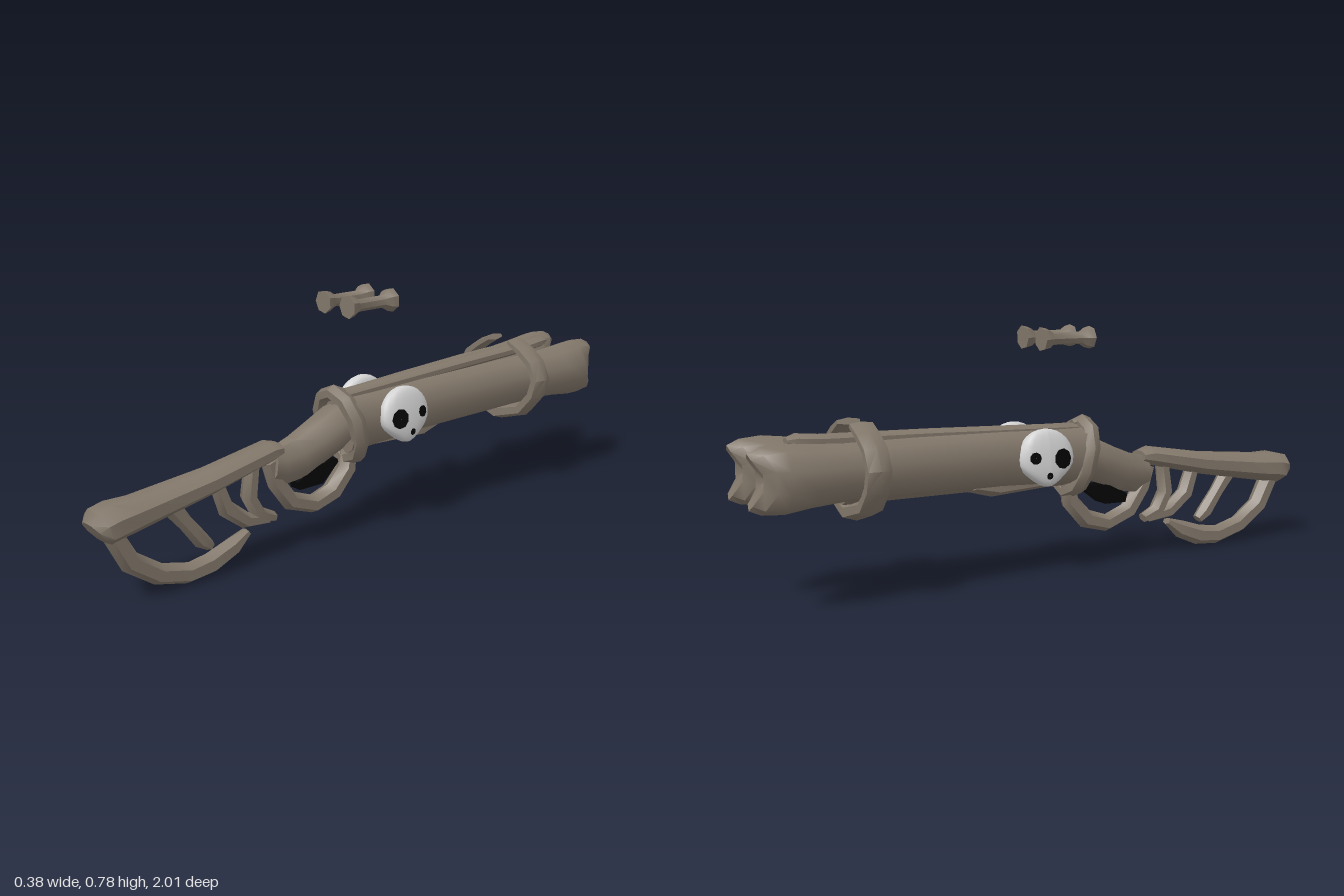
import * as THREE from 'three';
import { toCreasedNormals } from 'three/addons/utils/BufferGeometryUtils.js';

const mat = (name, color, side = THREE.FrontSide) => {
  const m = new THREE.MeshStandardMaterial({ color, side });
  m.name = name;
  return m;
};
const X = new THREE.Vector3(1, 0, 0), Z = new THREE.Vector3(0, 0, 1);

// Sweeps an n-sided section along [x, y, z, halfWidth, halfHeight] points.
// Width lies along the fixed axis B, height across it and the path.
function sweep(points, { B = X, sides = 8, closed = false, crease = 0.7, bend } = {}) {
  const n = points.length, pos = [], idx = [];
  const P = points.map(p => new THREE.Vector3(p[0], p[1], p[2]));
  const k = 1 / Math.cos(Math.PI / sides);
  points.forEach(([, , , w, h], i) => {
    const a = P[closed ? (i + n - 1) % n : Math.max(i - 1, 0)];
    const b = P[closed ? (i + 1) % n : Math.min(i + 1, n - 1)];
    const T = b.clone().sub(a).normalize();
    const N = T.cross(B).normalize();
    for (let j = 0; j < sides; j++) {
      const t = ((j + 0.5) / sides) * Math.PI * 2;
      const v = P[i].clone().addScaledVector(B, w * k * Math.cos(t)).addScaledVector(N, h * k * Math.sin(t));
      pos.push(v.x, v.y, v.z);
    }
  });
  for (let i = 0; i < (closed ? n : n - 1); i++) {
    for (let j = 0; j < sides; j++) {
      const a = i * sides, b = ((i + 1) % n) * sides, q = (j + 1) % sides;
      idx.push(a + j, a + q, b + q, a + j, b + q, b + j);
    }
  }
  if (!closed) {
    const c = n * sides, last = (n - 1) * sides;
    pos.push(...P[0].toArray(), ...P[n - 1].toArray());
    for (let j = 0; j < sides; j++) {
      const q = (j + 1) % sides;
      idx.push(c, q, j, c + 1, last + j, last + q);
    }
  }
  const g = new THREE.BufferGeometry();
  g.setAttribute('position', new THREE.Float32BufferAttribute(pos, 3));
  g.setIndex(idx);
  if (bend) reshape(g, bend);
  return toCreasedNormals(g, crease);
}

function reshape(g, rule) {
  const p = g.attributes.position, v = new THREE.Vector3();
  for (let i = 0; i < p.count; i++) {
    rule(v.fromBufferAttribute(p, i));
    p.setXYZ(i, v.x, v.y, v.z);
  }
  return g;
}

// Outward bulge of the skull plate at local (y, z)
const SK = { x: 0.032, y: 0.09, z: 0.096 };
const narrow = y => (y < -0.03 ? 1 - (-0.03 - y) * 6.5 : 1);
const bulge = (y, z) => {
  const r = (y / SK.y) ** 2 + (z / (SK.z * narrow(y))) ** 2;
  return SK.x * Math.pow(Math.max(0, 1 - r), 0.3);
};

export function createModel() {
  const root = new THREE.Group();
  root.name = 'boneGun';
  const bone = mat('agedBone', 0x82776a);
  const pale = mat('paleBone', 0xd2d2d2);
  const black = mat('black', 0x050505, THREE.DoubleSide);
  const add = (name, geo, m = bone, parent = root) => {
    const mesh = new THREE.Mesh(geo, m);
    mesh.name = name;
    parent.add(mesh);
    return mesh;
  };

  for (const s of [-1, 1]) {
    const side = s > 0 ? 'left' : 'right';

    // Barrel: a long bone ending in a two-lobed knuckle
    add(side + 'Barrel', sweep([
      [s * 0.09, 0.4, -1.0, 0.034, 0.075],
      [s * 0.09, 0.4, -0.965, 0.062, 0.09],
      [s * 0.09, 0.4, -0.9, 0.074, 0.095],
      [s * 0.085, 0.4, -0.82, 0.076, 0.086],
      [s * 0.08, 0.4, -0.72, 0.07, 0.08],
      [s * 0.072, 0.397, -0.5, 0.056, 0.081],
      [s * 0.058, 0.39, -0.2, 0.05, 0.08],
      [s * 0.05, 0.38, 0.0, 0.048, 0.082],
      [s * 0.045, 0.375, 0.13, 0.045, 0.085]], {
      sides: 10, crease: 0.9,
      bend: v => { if (v.z < -0.93) v.z += 0.05 * Math.max(0, 1 - Math.abs(v.y - 0.4) / 0.07); },
    }));

    // Small bone floating above
    add(side + 'FloatingBone', sweep([
      [s * 0.056, 0.752, -0.052, 0.034, 0.034], [s * 0.056, 0.752, -0.03, 0.03, 0.03],
      [s * 0.056, 0.752, -0.012, 0.018, 0.018], [s * 0.056, 0.752, 0.09, 0.018, 0.018],
      [s * 0.056, 0.752, 0.108, 0.028, 0.028], [s * 0.056, 0.752, 0.13, 0.033, 0.033]], { sides: 7 }));

    // Skull ornament on the flank
    const skull = new THREE.Group();
    skull.name = side + 'Skull';
    skull.position.set(s * 0.104, 0.39, -0.065);
    skull.rotation.z = s * 0.12;
    root.add(skull);
    const head = reshape(new THREE.SphereGeometry(1, 18, 14), v => {
      const x = Math.sign(v.x) * Math.pow(Math.abs(v.x), 0.6);
      const y = v.y * SK.y;
      v.set(x * SK.x, y, v.z * SK.z * narrow(y));
    });
    head.computeVertexNormals();
    add('skullHead', head, pale, skull);
    const holes = [['largeEye', -0.006, 0.044, 0.032], ['smallEye', 0.002, -0.053, 0.019], ['nose', -0.056, -0.006, 0.011]];
    for (const [name, y0, z0, r] of holes) {
      add(name, reshape(new THREE.RingGeometry(0.0005, r, 9, 4), v => {
        const z = v.x + z0, y = v.y + y0;
        v.set(s * (bulge(y, z) + 0.003), y, z);
      }), black, skull);
    }
  }

  // Rib along the top between the barrels
  add('topRib', sweep([
    [0, 0.492, -0.86, 0.018, 0.008], [0, 0.492, -0.83, 0.03, 0.018], [0, 0.485, -0.76, 0.028, 0.018],
    [0, 0.475, -0.4, 0.026, 0.018], [0, 0.46, 0.0, 0.022, 0.018], [0, 0.455, 0.13, 0.022, 0.02]]));

  // Rod and fore-end block under the barrels
  add('underRod', sweep([[0, 0.315, -0.7, 0.035, 0.022], [0, 0.32, -0.3, 0.04, 0.03], [0, 0.32, 0.05, 0.045, 0.03]]));
  add('foreEnd', sweep([
    [0, 0.32, -0.275, 0.05, 0.03], [0, 0.31, -0.2, 0.06, 0.04],
    [0, 0.315, 0.0, 0.055, 0.035], [0, 0.32, 0.1, 0.05, 0.04]], { sides: 6 }));

  // Horn-shaped clamp open at the top
  const horn = [[0.045, 0.528, 0.01], [0.095, 0.5, 0.015], [0.142, 0.465, 0.017], [0.168, 0.41, 0.019],
    [0.152, 0.355, 0.02], [0.1, 0.295, 0.021]];
  add('barrelClamp', sweep([
    ...horn.map(([x, y, h]) => [-x, y, -0.65, 0.036, h]),
    [0, 0.268, -0.65, 0.045, 0.025],
    ...horn.slice().reverse().map(([x, y, h]) => [x, y, -0.65, 0.036, h])], { B: Z, sides: 6 }));

  // Tilted collar joining grip and barrels
  add('collar', sweep(Array.from({ length: 10 }, (_, i) => {
    const a = ((i + 0.5) / 10) * Math.PI * 2;
    return [0.088 * Math.cos(a), 0.365 + 0.112 * Math.sin(a), 0.11 + 0.028 * Math.sin(a), 0.027, 0.021];
  }), { B: Z, sides: 6, closed: true }));
  add('collarKnob', sweep([[0, 0.472, 0.1, 0.012, 0.012], [0, 0.48, 0.135, 0.018, 0.016], [0, 0.478, 0.165, 0.01, 0.01]]));

  // Curved grip
  add('grip', sweep([
    [0, 0.375, 0.06, 0.072, 0.068], [0, 0.365, 0.14, 0.07, 0.066], [0, 0.33, 0.22, 0.064, 0.064],
    [0, 0.3, 0.29, 0.052, 0.066], [0, 0.29, 0.35, 0.038, 0.062], [0, 0.295, 0.39, 0.036, 0.05]], { crease: 0.9 }));

  // Straight stock with a flared butt
  add('stock', sweep([
    [0, 0.345, 0.365, 0.038, 0.018], [0, 0.344, 0.4, 0.046, 0.03], [0, 0.3, 0.62, 0.05, 0.037],
    [0, 0.265, 0.87, 0.058, 0.047], [0, 0.26, 0.94, 0.069, 0.052], [0, 0.252, 0.975, 0.068, 0.052],
    [0, 0.24, 0.993, 0.05, 0.035]], { sides: 8 }));

  // Dark wedge in front of the grip
  add('trigger', sweep([[0, 0.26, 0.14, 0.02, 0.006], [0, 0.235, 0.22, 0.03, 0.034], [0, 0.212, 0.3, 0.022, 0.014]], { sides: 4 }), black);

  // Rib bones below the stock: [y, z, halfWidth, thickness]
  const ribs = {
    triggerGuard: [[0.3, 0.08, 0.03, 0.022], [0.22, 0.09, 0.03, 0.026], [0.155, 0.15, 0.03, 0.027],
      [0.132, 0.23, 0.029, 0.025], [0.165, 0.32, 0.028, 0.026], [0.24, 0.375, 0.026, 0.025], [0.31, 0.4, 0.024, 0.02]],
    frontRib: [[0.13, 0.385, 0.02, 0.014], [0.15, 0.44, 0.026, 0.022], [0.215, 0.475, 0.026, 0.022], [0.32, 0.46, 0.024, 0.02]],
    middleRib: [[0.13, 0.41, 0.02, 0.014], [0.145, 0.49, 0.025, 0.022], [0.2, 0.56, 0.026, 0.024], [0.3, 0.595, 0.024, 0.02]],
    strut: [[0.1, 0.62, 0.018, 0.014], [0.125, 0.65, 0.024, 0.022], [0.19, 0.7, 0.022, 0.02], [0.27, 0.76, 0.026, 0.026]],
    bottomRib: [[0.108, 0.485, 0.016, 0.01], [0.075, 0.54, 0.025, 0.026], [0.045, 0.62, 0.027, 0.03],
      [0.036, 0.7, 0.027, 0.028], [0.062, 0.8, 0.028, 0.028], [0.125, 0.89, 0.03, 0.028], [0.23, 0.945, 0.032, 0.026]],
  };
  for (const [name, pts] of Object.entries(ribs)) {
    add(name, sweep(pts.map(([y, z, w, h]) => [0, y, z, w, h]), { sides: 6 }));
  }
  return root;
}
